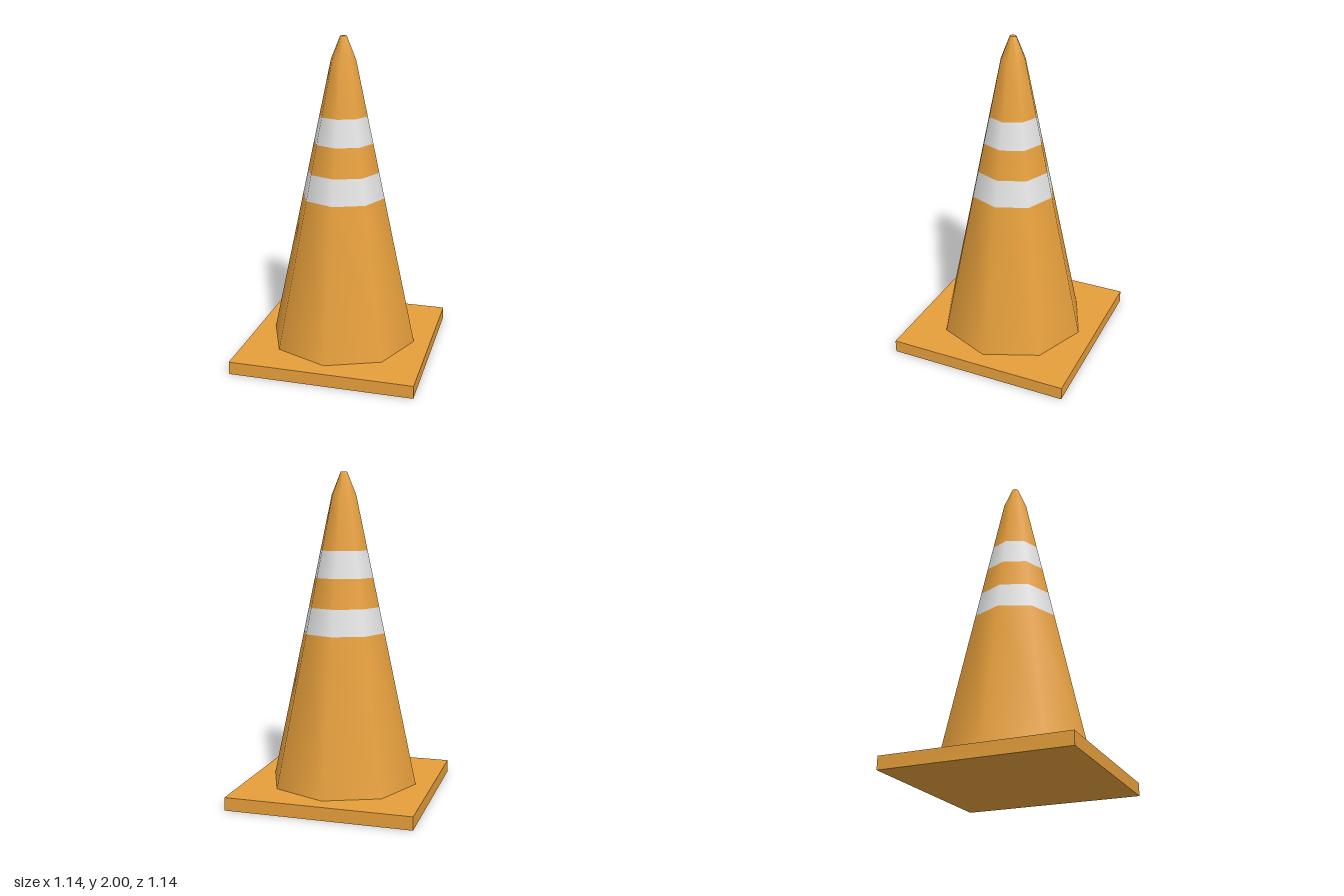
import * as THREE from 'three';

export function createModel() {
  const cone = new THREE.Group();
  cone.name = 'trafficCone';
  const orange = new THREE.MeshStandardMaterial({ color: 0xe69f3c });
  orange.name = 'orange';
  const white = new THREE.MeshStandardMaterial({ color: 0xe4e4e4 });
  white.name = 'white';

  const add = (name, geometry, material) => {
    const mesh = new THREE.Mesh(geometry, material);
    mesh.name = name;
    cone.add(mesh);
    return mesh;
  };

  // Square foot
  const foot = add('foot', new THREE.BoxGeometry(1.14, 0.08, 1.14), orange);
  foot.position.y = 0.04;

  // Eight-sided tapering body, split into bands by colour
  const radiusAt = (y) => THREE.MathUtils.mapLinear(y, 0.08, 1.86, 0.466, 0.078);
  const ring = (y) => new THREE.Vector2(radiusAt(y), y);
  const shoulder = new THREE.Vector2(0.02, 2);
  const bands = [
    ['lowerBody', [ring(0.08), ring(1.02)], orange],
    ['lowerStripe', [ring(1.02), ring(1.18)], white],
    ['middleBody', [ring(1.18), ring(1.36)], orange],
    ['upperStripe', [ring(1.36), ring(1.525)], white],
    ['tip', [ring(1.525), ring(1.86), shoulder], orange],
  ];
  for (const [name, profile, material] of bands) {
    add(name, new THREE.LatheGeometry(profile, 8), material);
  }

  // Small flat cap closing the tip
  const cap = add('tipCap', new THREE.CircleGeometry(0.02, 8), orange);
  cap.rotation.x = -Math.PI / 2;
  cap.position.y = 2;

  return cone;
}
